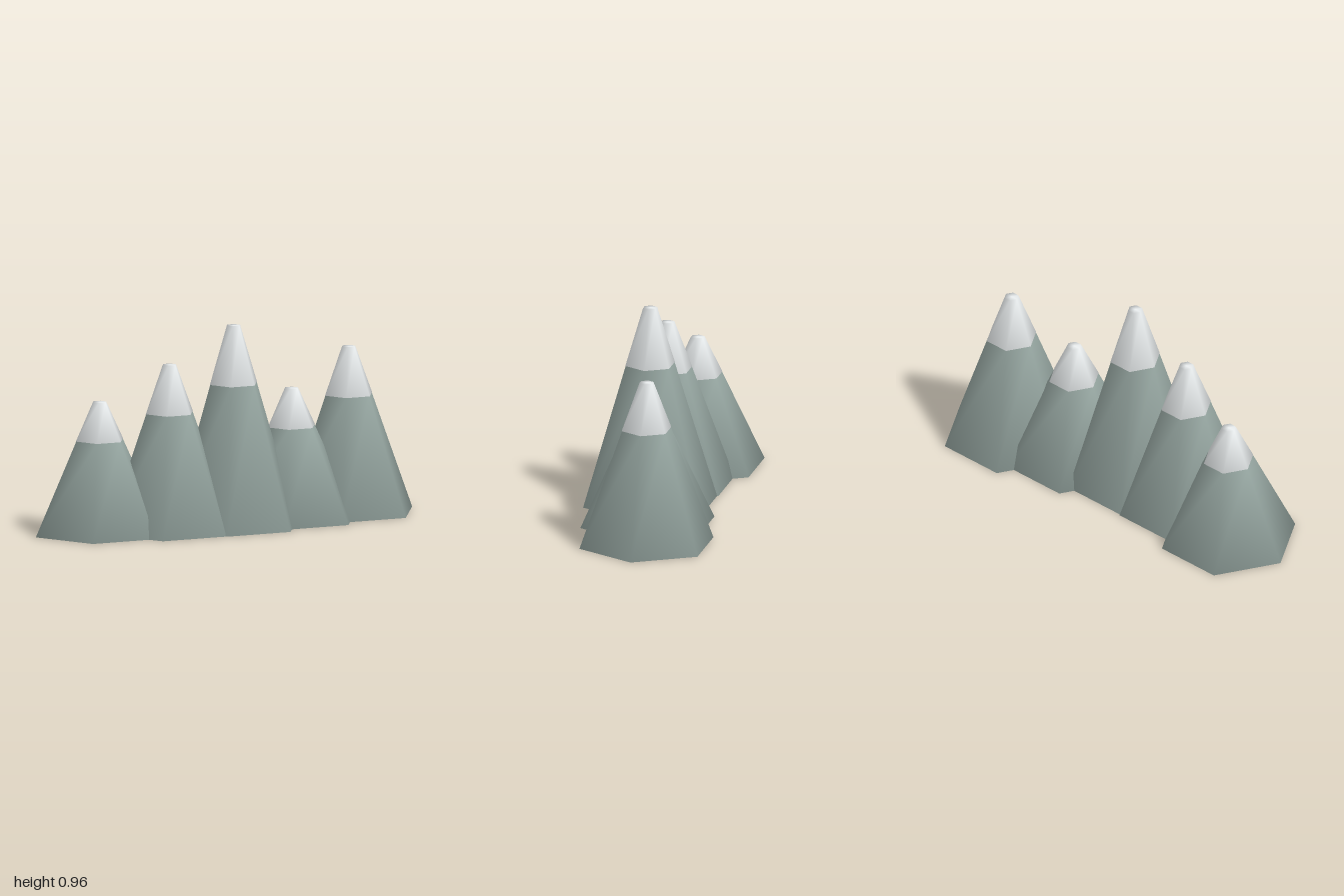
import * as THREE from 'three';
import { mergeVertices } from 'three/addons/utils/BufferGeometryUtils.js';

const BASE_R = 0.333, TIP_R = 0.035, SNOW_LINE = 0.71;

const rockMaterial = new THREE.MeshStandardMaterial({ color: 0x95a5a0 });
const snowMaterial = new THREE.MeshStandardMaterial({ color: 0xecf0f1 });

// Closed six-sided frustum between two heights, with soft shared normals.
function hexFrustum(rBottom, rTop, y0, y1) {
  const geo = new THREE.CylinderGeometry(rTop, rBottom, y1 - y0, 6, 1, false, Math.PI / 6);
  geo.translate(0, (y0 + y1) / 2, 0);
  geo.deleteAttribute('normal');
  geo.deleteAttribute('uv');
  const merged = mergeVertices(geo, 1e-4);
  merged.computeVertexNormals();
  return merged;
}

// One peak: rock body with a snow cap carrying on the same slope.
function mountain(height) {
  const group = new THREE.Group();
  const snowY = height * SNOW_LINE;
  const snowR = THREE.MathUtils.lerp(BASE_R, TIP_R, SNOW_LINE);

  const rock = new THREE.Mesh(hexFrustum(BASE_R, snowR, 0, snowY), rockMaterial);
  rock.name = 'rockBody';
  const snow = new THREE.Mesh(hexFrustum(snowR + 0.002, TIP_R, snowY, height), snowMaterial);
  snow.name = 'snowCap';
  group.add(rock, snow);
  return group;
}

export function createModel() {
  const model = new THREE.Group();
  model.name = 'mountainRange';

  // x, z, height of each peak
  const peaks = [
    [-0.667, -0.007, 0.63],
    [-0.333, 0.062, 0.797],
    [0, 0.068, 0.965],
    [0.333, 0.003, 0.63],
    [0.667, -0.071, 0.797],
  ];
  peaks.forEach(([x, z, height], i) => {
    const peak = mountain(height);
    peak.name = `mountain${i + 1}`;
    peak.position.set(x, 0, z);
    model.add(peak);
  });
  return model;
}
